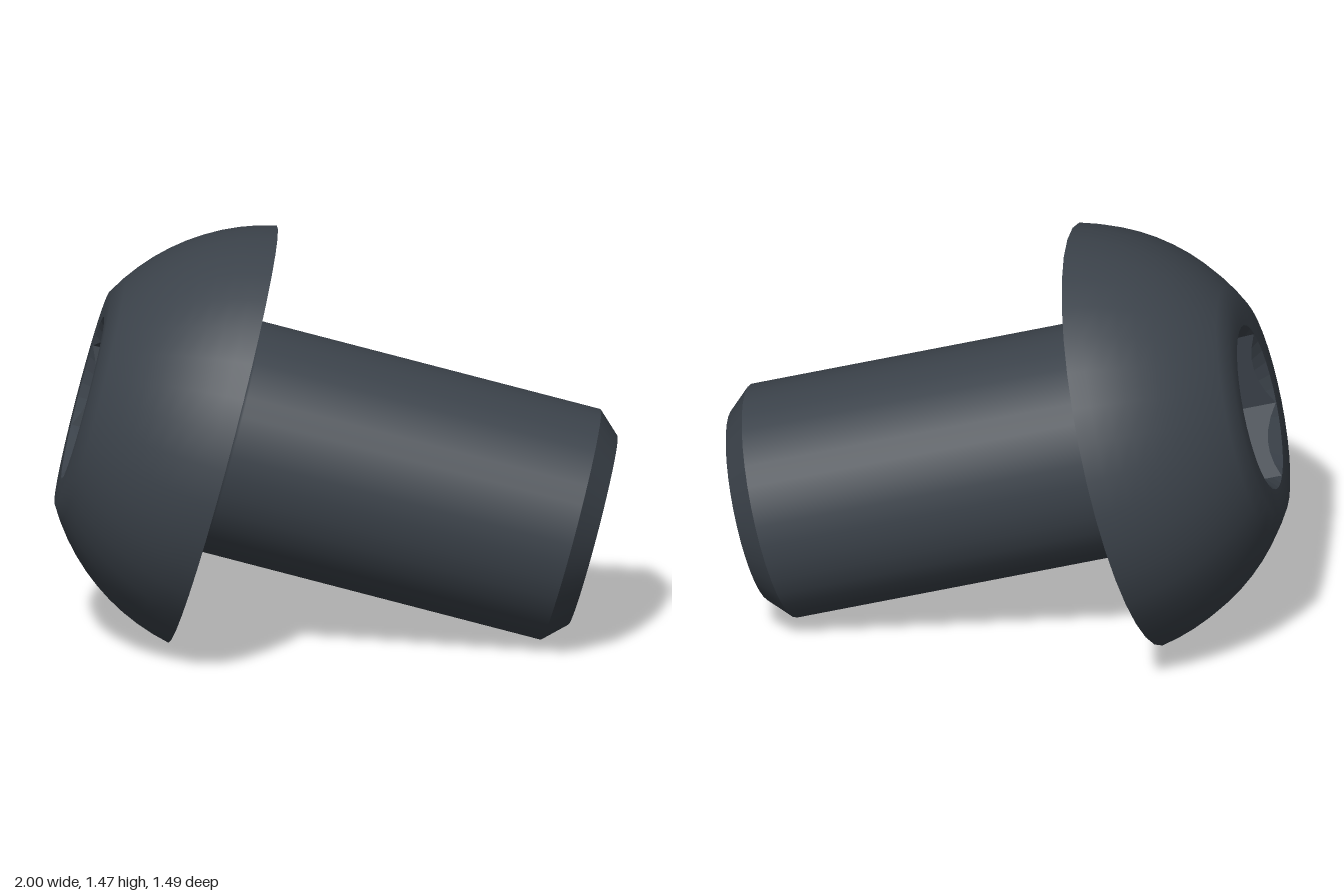
import * as THREE from 'three';

const SEG = 36;              // sides around the axis
const PHASE = 4 * Math.PI / 180; // lines the lathe sides up with the socket corners

export function createModel() {
  const steel = new THREE.MeshStandardMaterial({ color: 0x3b424a });
  steel.name = 'dark steel';

  const bolt = new THREE.Group();
  bolt.name = 'bolt';

  const add = (name, geometry) => {
    const mesh = new THREE.Mesh(geometry, steel);
    mesh.name = name;
    bolt.add(mesh);
  };
  const lathe = (name, pts) => add(name, new THREE.LatheGeometry(
    pts.map(([r, y]) => new THREE.Vector2(r, y)), SEG, PHASE));

  // The bolt is built along +y: underside of the head at 0, tip at 1.35
  const TOP = -0.51, OPENING = 0.295;

  // Domed head: flat ring round the socket, then a spherical arc to the rim
  const dome = [[OPENING, TOP]];
  const ballR = 0.777, ballY = 0.162;
  const a0 = Math.asin(0.39 / ballR), a1 = Math.acos(ballY / ballR);
  for (let i = 0; i <= 10; i++) {
    const a = a0 + (a1 - a0) * i / 10;
    dome.push([ballR * Math.sin(a), ballY - ballR * Math.cos(a)]);
  }
  lathe('headDome', dome);
  lathe('headUnderside', [[0.76, 0], [0.45, 0]]);

  // Shaft with a small fillet under the head
  const shaft = [];
  for (let i = 0; i <= 4; i++) {
    const a = i / 4 * Math.PI / 2;
    shaft.push([0.45 - 0.03 * Math.sin(a), 0.03 - 0.03 * Math.cos(a)]);
  }
  lathe('shaft', [...shaft, [0.42, 1.27]]);
  lathe('tipChamfer', [[0.42, 1.27], [0.345, 1.35]]);
  lathe('tipFace', [[0.345, 1.35], [0, 1.35]]);

  // Hex socket: conical lead-in, six walls and a flat floor
  const apothem = 0.254, floorY = TOP + 0.31;
  const rings = [[], [], [], []];
  for (let i = 0; i <= SEG; i++) {
    const local = (i % 6) * Math.PI / 18 - Math.PI / 6;
    const t = (-24 + i * 10) * Math.PI / 180;
    const hexR = apothem / Math.cos(local);
    const at = (r, y) => new THREE.Vector3(r * Math.cos(t), y, r * Math.sin(t));
    rings[0].push(at(OPENING, TOP));
    rings[1].push(at(hexR, TOP + (OPENING - hexR)));
    rings[2].push(at(hexR, floorY));
    rings[3].push(at(0, floorY));
  }
  const band = (name, p, q) => {
    const v = [];
    for (let i = 0; i < SEG; i++) {
      v.push(p[i], p[i + 1], q[i], p[i + 1], q[i + 1], q[i]);
    }
    const g = new THREE.BufferGeometry().setFromPoints(v);
    g.computeVertexNormals();
    add(name, g);
  };
  band('socketLeadIn', rings[0], rings[1]);
  band('socketWalls', rings[1], rings[2]);
  band('socketFloor', rings[2], rings[3]);

  // Lay the bolt down along its tilted axis
  const axis = new THREE.Vector3(0.945, -0.257, 0.203).normalize();
  const side = new THREE.Vector3(-axis.z, 0, axis.x).normalize();
  const up = new THREE.Vector3().crossVectors(side, axis);
  bolt.quaternion.setFromRotationMatrix(new THREE.Matrix4().makeBasis(side, axis, up));
  bolt.position.set(-0.389, 0.738, 0.002);

  const model = new THREE.Group();
  model.name = 'buttonHeadBolt';
  model.add(bolt);
  return model;
}
